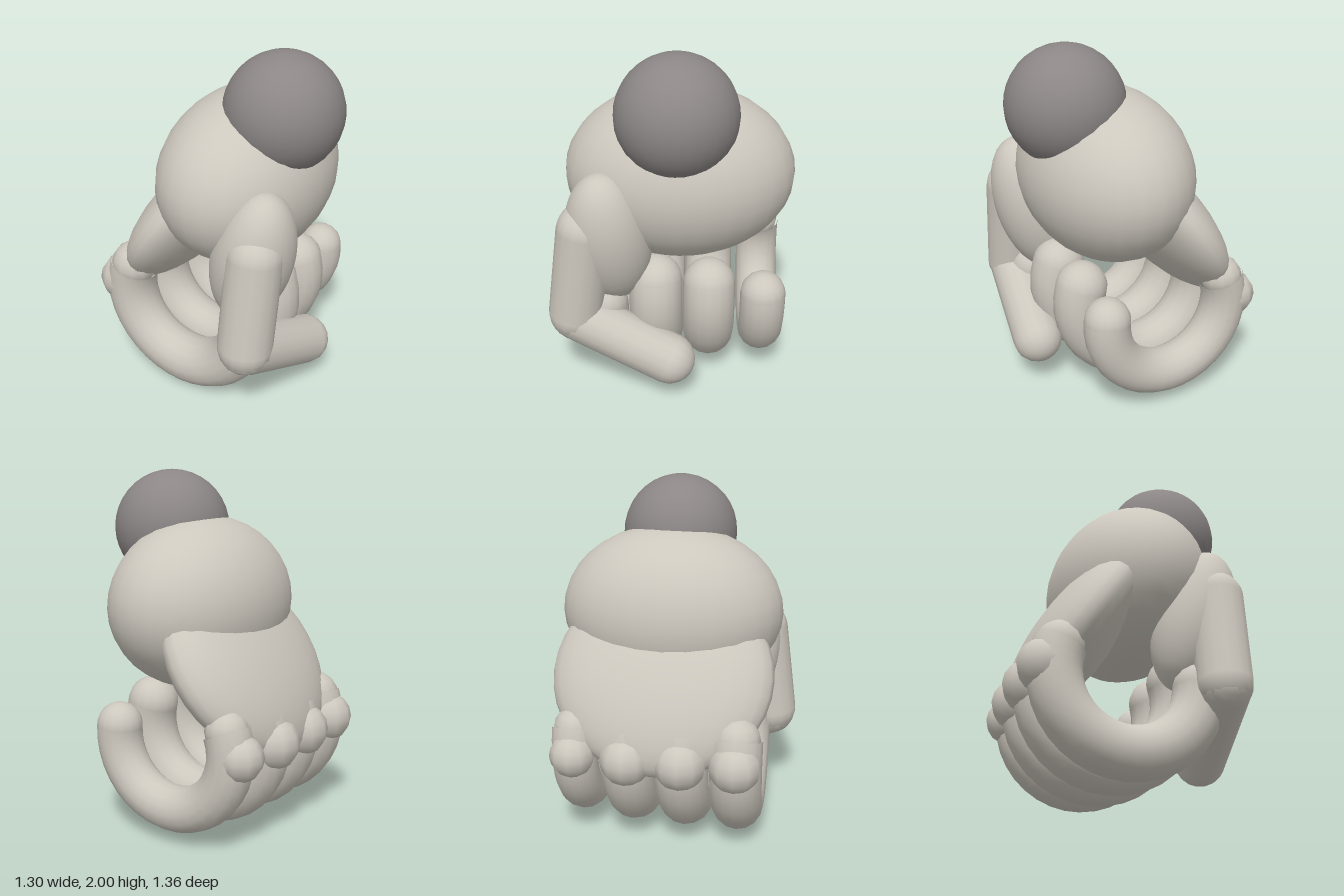
import * as THREE from 'three';

export function createModel() {
  const group = new THREE.Group();
  const skin = new THREE.MeshStandardMaterial({ color: 0xcdc8be });
  skin.name = 'pale grey';
  const dark = new THREE.MeshStandardMaterial({ color: 0x8c8686 });
  dark.name = 'dark grey';
  const UP = new THREE.Vector3(0, 1, 0);
  const vec = (p) => new THREE.Vector3(...p);

  function add(name, geometry, material, position, parent = group) {
    const mesh = new THREE.Mesh(geometry, material);
    mesh.name = name;
    mesh.position.set(...position);
    parent.add(mesh);
    return mesh;
  }

  // Ellipsoid whose local y axis points along the given direction
  function ellipsoid(name, position, radii, direction = [0, 1, 0], material = skin) {
    const mesh = add(name, new THREE.SphereGeometry(1, 28, 18), material, position);
    mesh.scale.set(...radii);
    mesh.quaternion.setFromUnitVectors(UP, vec(direction).normalize());
    return mesh;
  }

  // Round-ended segment between two joints
  function segment(name, from, to, radius) {
    const a = vec(from), b = vec(to);
    const dir = b.clone().sub(a);
    const geometry = new THREE.CapsuleGeometry(radius, dir.length(), 6, 16);
    const mesh = add(name, geometry, skin, a.add(b).multiplyScalar(0.5).toArray());
    mesh.quaternion.setFromUnitVectors(UP, dir.normalize());
  }

  // Wrist, palm and back of the hand
  ellipsoid('wrist', [0.31, 1.67, -0.03], [0.33, 0.33, 0.33], [0, 1, 0], dark);
  ellipsoid('palm', [0.09, 1.26, -0.043], [0.46, 0.49, 0.637]);
  ellipsoid('backOfHand', [-0.22, 0.96, -0.055], [0.22, 0.57, 0.625], [0.55, 0.83, 0]);

  // Thumb: fleshy base and two segments
  ellipsoid('thumbBase', [0.355, 0.97, 0.34], [0.225, 0.43, 0.235], [0.25, 0.96, 0.08]);
  segment('thumbLower', [0.44, 1.06, 0.46], [0.43, 0.53, 0.53], 0.152);
  segment('thumbTip', [0.43, 0.51, 0.53], [0.51, 0.275, 0], 0.143);

  // Four curled fingers, each an arc with a round tip and two knuckles
  const fingers = [
    { name: 'indexFinger', z: 0.385, y: 0.55, R: 0.4, r: 0.145, tip: 0, out: -0.505 },
    { name: 'middleFinger', z: 0.085, y: 0.555, R: 0.395, r: 0.15, tip: 19, out: -0.505 },
    { name: 'ringFinger', z: -0.215, y: 0.56, R: 0.39, r: 0.147, tip: 16, out: -0.5 },
    { name: 'littleFinger', z: -0.52, y: 0.565, R: 0.375, r: 0.128, tip: 6, out: -0.485 },
  ];
  const start = THREE.MathUtils.degToRad(160);
  for (const f of fingers) {
    const finger = new THREE.Group();
    finger.name = f.name;
    finger.position.set(-0.05, f.y, f.z);
    group.add(finger);
    const tip = THREE.MathUtils.degToRad(360 + f.tip);
    const curl = new THREE.TorusGeometry(f.R, f.r, 16, 20, tip - start);
    add('curl', curl, skin, [0, 0, 0], finger).rotation.z = start;
    add('fingertip', new THREE.SphereGeometry(f.r, 16, 12), skin,
      [f.R * Math.cos(tip), f.R * Math.sin(tip), 0], finger);
    add('upperKnuckle', new THREE.SphereGeometry(f.r * 0.93, 12, 8), skin,
      [f.R * Math.cos(start), f.R * Math.sin(start), 0], finger);
    add('outerKnuckle', new THREE.SphereGeometry(f.r, 10, 8), skin,
      [f.out + 0.05, 0.565 - f.y, 0], finger);
  }
  return group;
}
